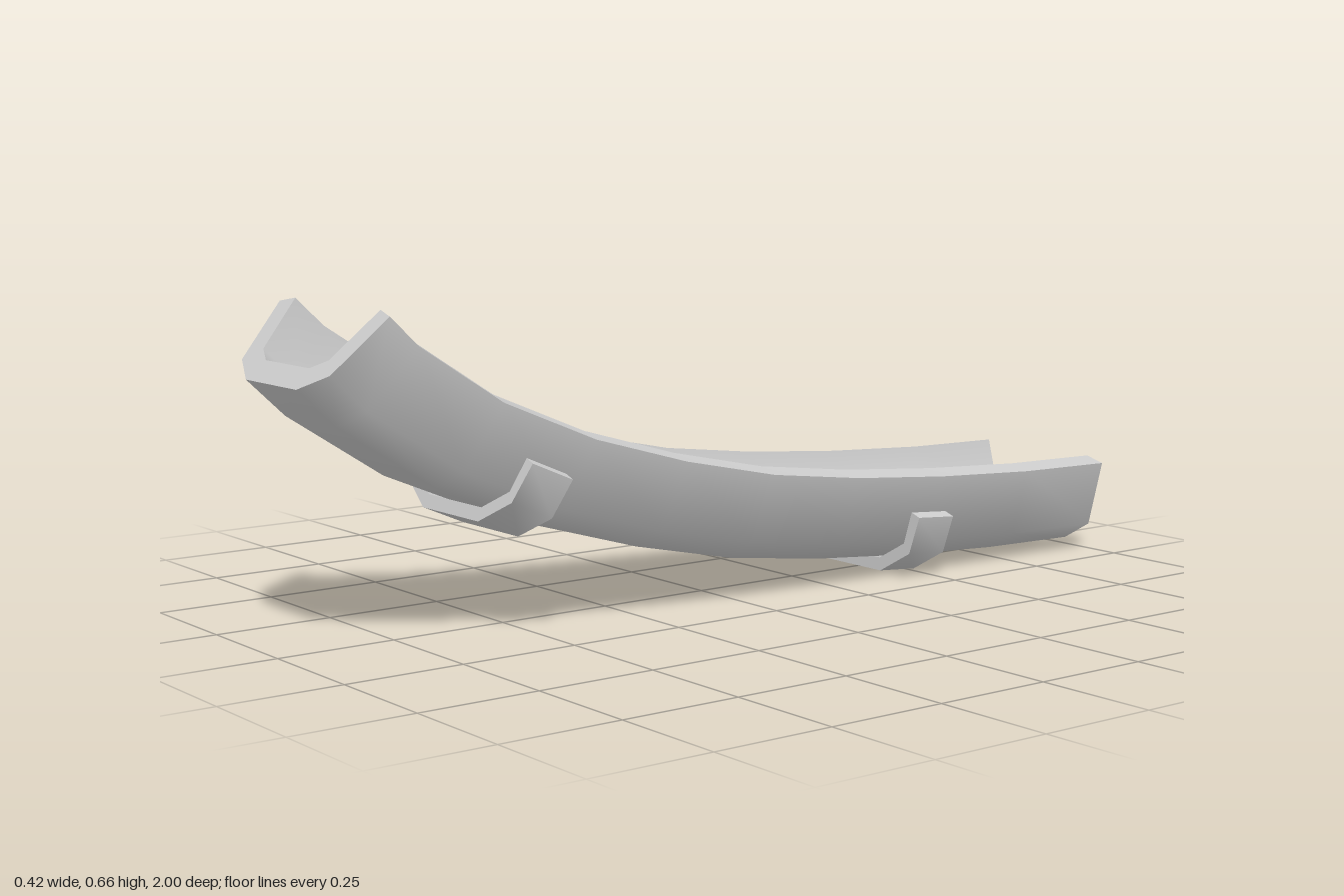
import * as THREE from 'three';
import { toCreasedNormals } from 'three/addons/utils/BufferGeometryUtils.js';

// Complete a half profile: outer points run bottom to rim, inner points likewise.
// Result runs counter-clockwise: outer left to right, then inner right to left.
function channelProfile(outer, inner) {
  const flip = ([x, v]) => [-x, v];
  return [
    ...[...outer].reverse().map(flip), ...outer,
    ...[...inner].reverse(), ...inner.map(flip),
  ];
}

// Sweep a profile through stations [z, y, pitch], ordered back to front.
function loft(profile, stations) {
  const n = profile.length;
  const positions = [];
  const index = [];
  for (const [z, y, pitch] of stations) {
    for (const [x, v] of profile) {
      positions.push(x, y + v * Math.cos(pitch), z - v * Math.sin(pitch));
    }
  }
  const quad = (a, b, c, d) => index.push(a, b, c, a, c, d);
  for (let i = 0; i < stations.length - 1; i++) {
    for (let j = 0; j < n; j++) {
      const k = (j + 1) % n;
      quad(i * n + j, i * n + k, (i + 1) * n + k, (i + 1) * n + j);
    }
  }
  // End caps bridge the outer and inner halves of the profile
  const last = (stations.length - 1) * n;
  for (let k = 0; k < n / 2 - 1; k++) {
    quad(last + k, last + k + 1, last + n - 2 - k, last + n - 1 - k);
    quad(n - 1 - k, n - 2 - k, k + 1, k);
  }
  const geometry = new THREE.BufferGeometry();
  geometry.setAttribute('position', new THREE.Float32BufferAttribute(positions, 3));
  geometry.setIndex(index);
  return toCreasedNormals(geometry, 0.9);
}

export function createModel() {
  const group = new THREE.Group();
  const material = new THREE.MeshStandardMaterial({ color: 0xcccccc });
  const add = (name, geometry) => {
    const mesh = new THREE.Mesh(geometry, material);
    mesh.name = name;
    group.add(mesh);
  };

  // Curved open channel, rising towards the front
  const channel = channelProfile(
    [[0.097, 0], [0.169, 0.042], [0.207, 0.188]],
    [[0.083, 0.05], [0.125, 0.074], [0.16, 0.2]],
  );
  add('channel', loft(channel, [
    [-1, 0.015, 0], [-0.75, 0.02, 0.04], [-0.49, 0.034, 0.07], [-0.24, 0.055, 0.11],
    [0, 0.086, 0.16], [0.24, 0.138, 0.24], [0.48, 0.208, 0.35], [0.71, 0.305, 0.47],
    [0.92, 0.44, 0.65], [1, 0.515, 0.785],
  ]));

  // Straps hugging the underside of the channel
  const strap = channelProfile(
    [[0.1, 0], [0.188, 0.05], [0.212, 0.132]],
    [[0.095, 0.028], [0.169, 0.07], [0.187, 0.14]],
  );
  const addStrap = (name, z, y, pitch) => {
    const dz = 0.05 * Math.cos(pitch);
    const dy = 0.05 * Math.sin(pitch);
    add(name, loft(strap, [[z - dz, y - dy, pitch], [z + dz, y + dy, pitch]]));
  };
  addStrap('rearStrap', -0.468, 0.004, 0.075);
  addStrap('frontStrap', 0.573, 0.212, 0.41);

  return group;
}
